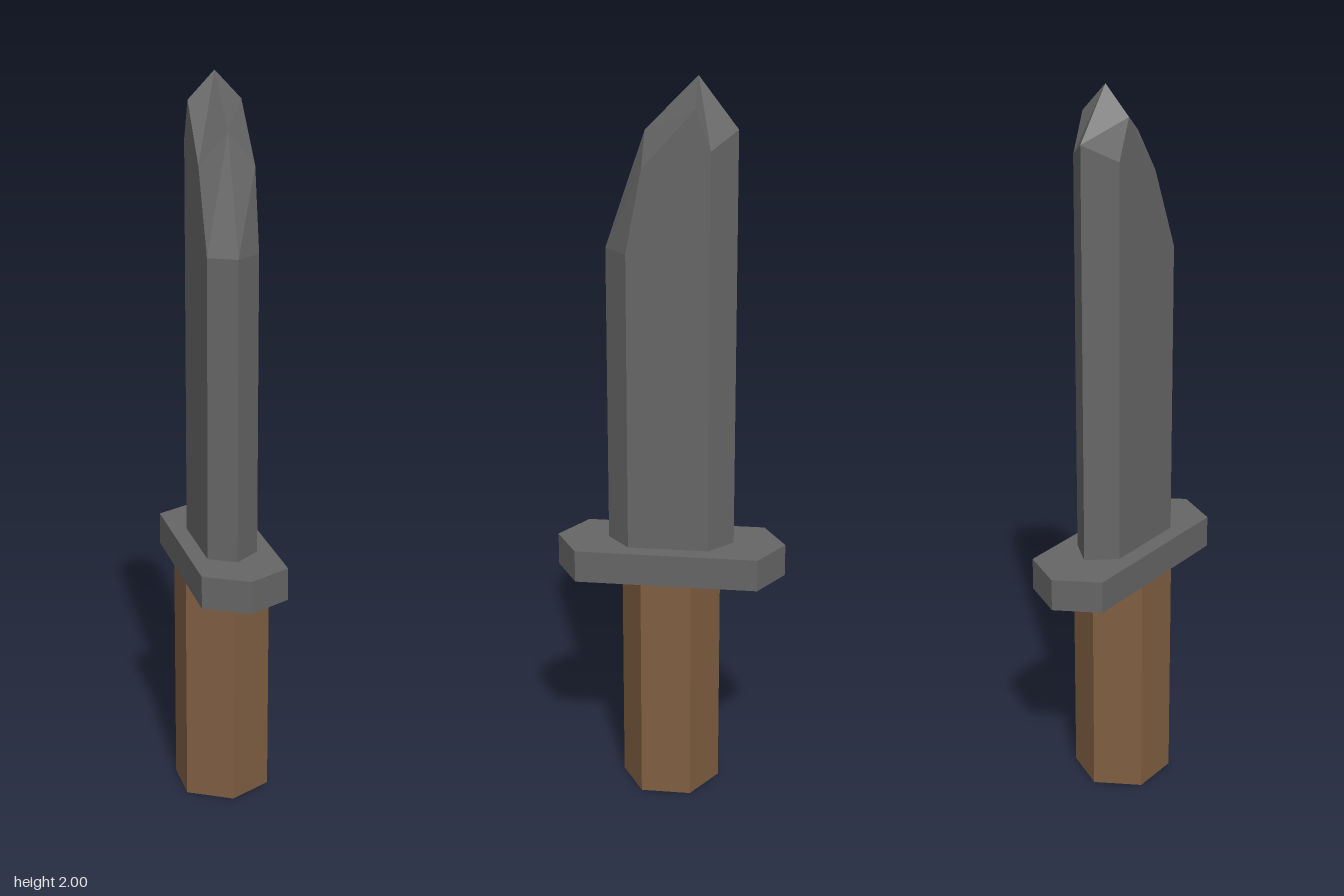
import * as THREE from 'three';

const steel = new THREE.MeshStandardMaterial({ name: 'steel', color: 0x666666, flatShading: true });
const wood = new THREE.MeshStandardMaterial({ name: 'wood', color: 0x805e42, flatShading: true });

// Upright six-sided prism: flat sides at +-halfX, pointed ends at +-tipZ
function hexPrism(name, halfX, shoulderZ, tipZ, y0, y1, material) {
  const shape = new THREE.Shape([
    [halfX, -shoulderZ], [halfX, shoulderZ], [0, tipZ],
    [-halfX, shoulderZ], [-halfX, -shoulderZ], [0, -tipZ],
  ].map(([x, z]) => new THREE.Vector2(x, z)));
  const geometry = new THREE.ExtrudeGeometry(shape, { depth: y1 - y0, bevelEnabled: false });
  geometry.rotateX(-Math.PI / 2).translate(0, y0, 0);
  const mesh = new THREE.Mesh(geometry, material);
  mesh.name = name;
  return mesh;
}

// Blade: three (z, y) outlines at the two cheeks and the centre ridge, joined by strips
function bladeGeometry() {
  const sections = [
    { x: -0.072, outline: [[0.132, 0.73], [0.132, 1.55], [0.045, 1.77], [-0.07, 1.925], [-0.11, 1.82], [-0.11, 0.73]] },
    { x: 0, outline: [[0.174, 0.73], [0.174, 1.55], [0.068, 1.86], [-0.07, 2], [-0.174, 1.865], [-0.174, 0.73]] },
    { x: 0.072, outline: [[0.11, 0.73], [0.11, 1.55], [0.068, 1.77], [-0.07, 1.925], [-0.11, 1.82], [-0.11, 0.73]] },
  ];
  const n = 6;
  const positions = sections.flatMap(({ x, outline }) => outline.flatMap(([z, y]) => [x, y, z]));
  const index = [];
  for (let s = 0; s < 2; s++) {
    for (let i = 0; i < n; i++) {
      const a = s * n + i, d = s * n + (i + 1) % n;
      index.push(a, a + n, d + n, a, d + n, d);
    }
  }
  // Flat cheeks
  for (let i = 1; i < n - 1; i++) {
    index.push(0, i, i + 1);
    index.push(2 * n, 2 * n + i + 1, 2 * n + i);
  }
  const indexed = new THREE.BufferGeometry();
  indexed.setAttribute('position', new THREE.Float32BufferAttribute(positions, 3));
  indexed.setIndex(index);
  const geometry = indexed.toNonIndexed();
  geometry.computeVertexNormals();
  return geometry;
}

export function createModel() {
  const knife = new THREE.Group();
  knife.name = 'knife';
  const blade = new THREE.Mesh(bladeGeometry(), steel);
  blade.name = 'blade';
  knife.add(
    hexPrism('handle', 0.118, 0.069, 0.137, 0, 0.64, wood),
    hexPrism('guard', 0.118, 0.25, 0.317, 0.64, 0.73, steel),
    blade,
  );
  return knife;
}
